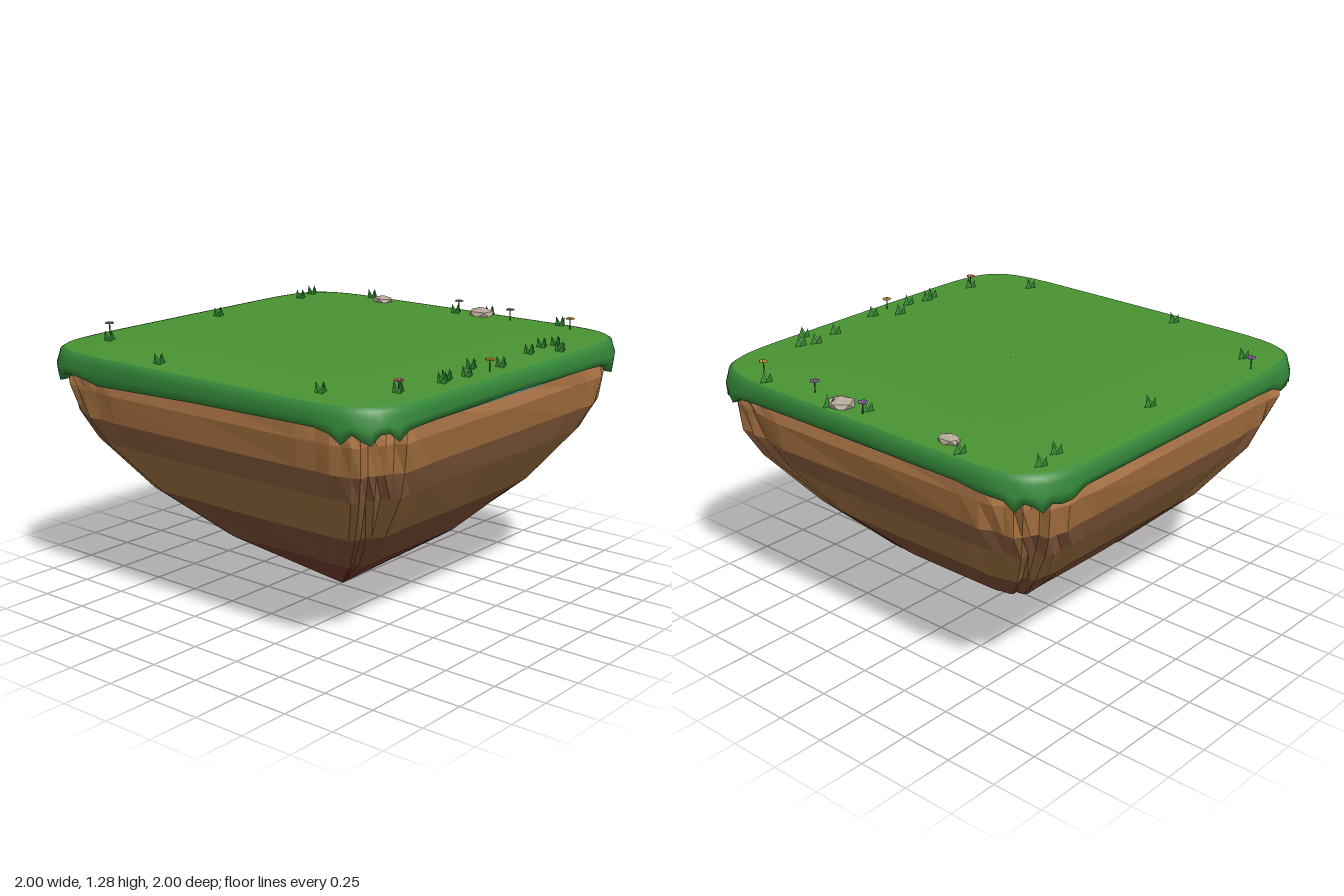
import * as THREE from 'three';

const SEG = 56;
let seed = 7;
const rand = () => (seed = (seed * 16807) % 2147483647) / 2147483647;

const material = (color, flat = false) =>
  new THREE.MeshStandardMaterial({ color, flatShading: flat, side: THREE.DoubleSide });

function addMesh(parent, name, geometry, mat) {
  const m = new THREE.Mesh(geometry, mat);
  m.name = name;
  parent.add(m);
  return m;
}

// Rounded-square outline, closely sampled at the corners
const soft = (v) => (Math.abs(v) < 1e-9 ? 0 : Math.sign(v) * Math.pow(Math.abs(v), 1 / 4));
const outline = Array.from({ length: SEG }, (_, i) => {
  const a = (i / SEG) * Math.PI * 2;
  const corner = Math.min(1, Math.sin(2 * a) ** 2 * 1.8);
  return { x: soft(Math.cos(a)), z: soft(Math.sin(a)), corner };
});

// A loop of corners; scale and height may vary around the outline
function loop(scale, height, dz = 0) {
  return outline.map((p, i) => {
    const r = typeof scale === 'function' ? scale(i) : scale;
    const y = typeof height === 'function' ? height(i) : height;
    return new THREE.Vector3(p.x * r, y, p.z * r + dz);
  });
}

// Skin through loops listed from bottom to top
function loft(loops) {
  const pos = [], index = [];
  loops.forEach((l) => l.forEach((p) => pos.push(p.x, p.y, p.z)));
  for (let k = 0; k < loops.length - 1; k++) {
    for (let i = 0; i < SEG; i++) {
      const j = (i + 1) % SEG;
      const a = k * SEG + i, b = k * SEG + j;
      index.push(a, a + SEG, b + SEG, a, b + SEG, b);
    }
  }
  const g = new THREE.BufferGeometry();
  g.setAttribute('position', new THREE.Float32BufferAttribute(pos, 3));
  g.setIndex(index);
  g.computeVertexNormals();
  return g;
}

// Faceted earth in coloured strata, with blocky columns down the corners
function makeRock() {
  const rock = new THREE.Group();
  rock.name = 'rock';
  const levels = [
    [0.001, 0], [0.42, 0.28], [0.68, 0.53], [0.87, 0.78], [0.935, 0.91], [0.955, 1.04], [0.965, 1.13],
  ];
  const colors = [0x7c3f2e, 0x84543a, 0xa87844, 0x946442, 0xa6713f, 0xc08350];
  const groove = [];
  outline.forEach((p, i) => groove.push(i % 2 ? groove[i - 1] : 0.06 * (rand() - 0.5)));
  const loops = levels.map(([r, y]) => loop(
    (i) => r * (1 + outline[i].corner * (groove[i] + 0.03 * (rand() - 0.5)) - 0.012 * rand()),
    y, -0.02 * (1 - y / 1.13)));
  colors.forEach((c, k) =>
    addMesh(rock, 'rockLayer' + (k + 1), loft([loops[k], loops[k + 1]]), material(c, true)));
  return rock;
}

// Turf with an overhanging lip that drips at the corners
function makeTurf() {
  const turf = new THREE.Group();
  turf.name = 'turf';
  const drip = outline.map((p, i) =>
    1.126 - p.corner * (i % 3 === 1 ? 0.045 + 0.025 * rand() : 0.01 + 0.03 * rand()));
  [1.11, 1.09, 1.11, 1.118].forEach((y, i) => { drip[SEG / 4 + i] = y; });
  const bulge = (r) => loop((i) => r + 0.012 * outline[i].corner, (i) => drip[i]);
  addMesh(turf, 'turfLip', loft([
    loop(0.94, 1.135), loop(0.98, (i) => drip[i] + 0.006), bulge(0.995),
    loop((i) => 1 + 0.01 * outline[i].corner, (i) => (drip[i] + 1.18) / 2),
    loop(1, 1.18), loop(0.995, 1.205), loop(0.98, 1.217),
  ]), material(0x35893a));
  addMesh(turf, 'turfTop', loft([loop(0.98, 1.217), loop(0.96, 1.22), loop(0.5, 1.22), loop(0.0005, 1.22)]),
    material(0x4a9433));
  addMesh(turf, 'waterSeam', loft([loop(0.982, 1.115), loop(0.982, 1.132)]), material(0x66f0ff));
  return turf;
}

// Tuft of three splayed three-sided blades, broad from the side
function makeTufts() {
  const group = new THREE.Group();
  group.name = 'grassTufts';
  const spots = [
    [-0.55, -0.94], [-0.87, -0.82], [-0.84, -0.69], [-0.83, -0.05], [-0.81, 0.7], [-0.28, 0.89], [0.6, 0.84],
    [0.84, 0.64], [0.88, 0.39], [0.865, 0.34], [0.89, 0.23], [0.82, 0.1], [0.9, -0.01], [0.85, -0.31],
    [0.82, -0.46], [0.93, -0.44], [0.85, -0.53], [0.62, -0.94], [0.04, -0.88], [0.2, -0.95],
  ];
  const blade = new THREE.ConeGeometry(0.016, 0.046, 3).rotateY(Math.PI).translate(0, 0.023, 0);
  const mat = material(0x358a33, true);
  spots.forEach(([x, z]) => {
    const tuft = new THREE.Group();
    tuft.name = 'grassTuft';
    [[0.002, -0.01, 0], [-0.01, 0.008, 0.28], [0.011, 0.01, -0.28]].forEach(([bx, bz, lean]) => {
      const b = addMesh(tuft, 'blade', blade, mat);
      b.position.set(bx, 0, bz);
      b.rotation.z = lean;
      b.scale.set(0.75, 1, 1.5);
    });
    tuft.position.set(x, 1.219, z);
    group.add(tuft);
  });
  return group;
}

// Flower: stem, five petals and a round centre
function makeFlower(x, z, color) {
  const f = new THREE.Group();
  f.name = 'flower';
  addMesh(f, 'stem', new THREE.CylinderGeometry(0.003, 0.003, 0.055, 5), material(0x2f6b2c)).position.y = 0.027;
  const petal = new THREE.SphereGeometry(0.01, 8, 5), mat = material(color);
  for (let i = 0; i < 5; i++) {
    const a = (i / 5) * Math.PI * 2 + Math.PI / 2;
    const p = addMesh(f, 'petal', petal, mat);
    p.position.set(Math.cos(a) * 0.013, 0.055, -Math.sin(a) * 0.013);
    p.scale.y = 0.4;
  }
  addMesh(f, 'flowerCentre', new THREE.SphereGeometry(0.006, 8, 6), material(0xe0b040)).position.y = 0.057;
  f.position.set(x, 1.219, z);
  return f;
}

// Low faceted stone
function makeStone(x, z, rx, ry, rz, turn) {
  const g = new THREE.IcosahedronGeometry(1, 0);
  g.rotateZ(0.55).rotateY(turn).scale(rx, ry, rz);
  const stone = new THREE.Mesh(g, material(0xb5a898, true));
  stone.name = 'stone';
  stone.position.set(x, 1.225, z);
  return stone;
}

export function createModel() {
  const model = new THREE.Group();
  model.name = 'floatingIsland';
  model.add(makeRock(), makeTurf(), makeTufts());
  [
    [0.03, -0.915, 0x8a62c0], [0.36, -0.885, 0x8a62c0], [-0.915, 0.605, 0x8a62c0],
    [0.71, -0.875, 0xe0a030], [0.915, 0.105, 0xe0a030], [0.85, 0.655, 0xd0606a],
  ].forEach((f) => model.add(makeFlower(...f)));
  model.add(makeStone(-0.44, -0.885, 0.062, 0.028, 0.045, 0.4));
  model.add(makeStone(0.17, -0.91, 0.073, 0.036, 0.066, 1.1));
  return model;
}
